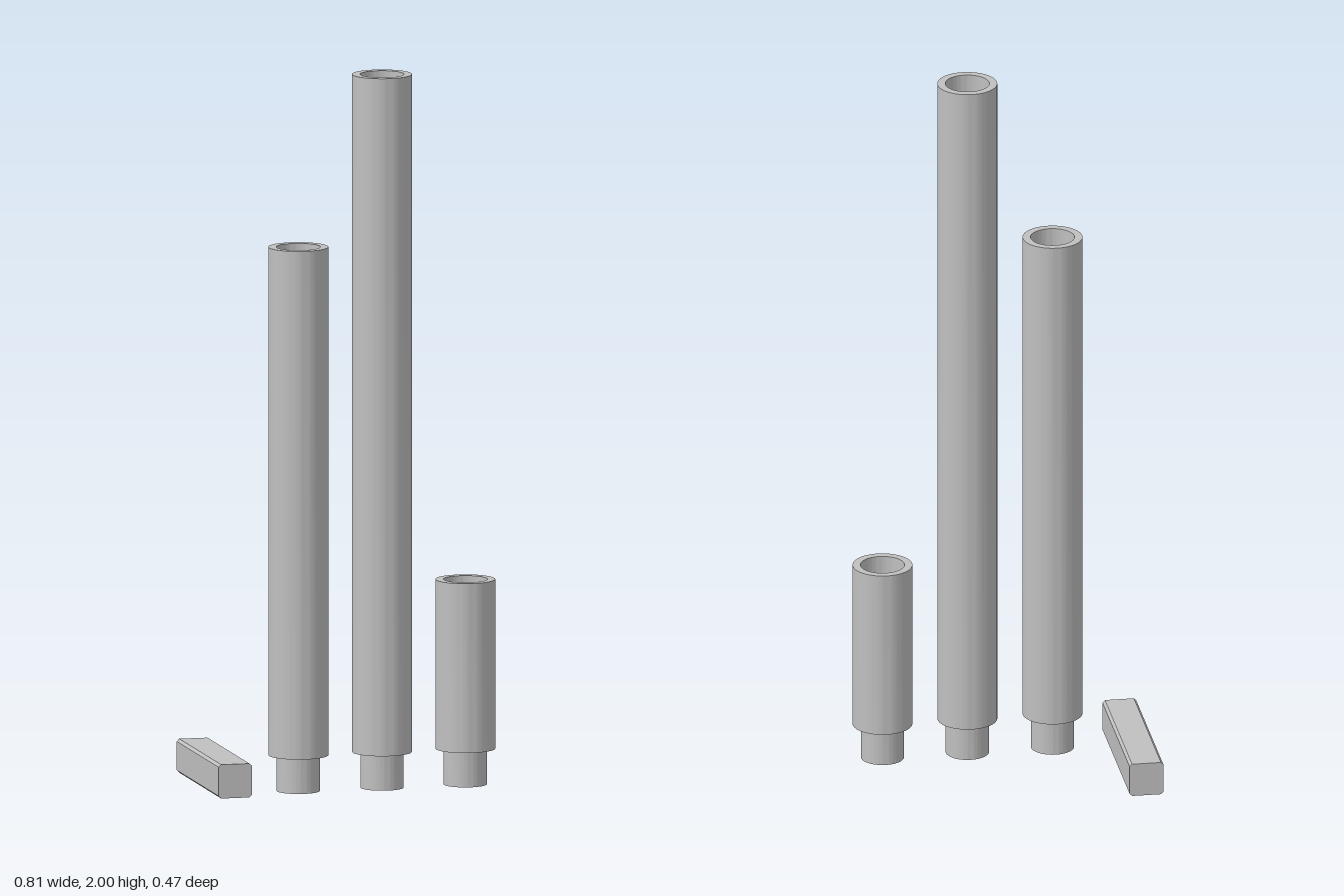
import * as THREE from 'three';
import { toCreasedNormals } from 'three/addons/utils/BufferGeometryUtils.js';

const PEG_RADIUS = 0.06, PEG_HEIGHT = 0.1;
const TUBE_RADIUS = 0.083, SOCKET_RADIUS = 0.061, SOCKET_DEPTH = 0.11;

// Round leg: narrow peg below, shoulder, long body and an open socket on top
function legGeometry(height) {
  const profile = [
    [0, 0],
    [PEG_RADIUS, 0],
    [PEG_RADIUS, PEG_HEIGHT],
    [TUBE_RADIUS, PEG_HEIGHT],
    [TUBE_RADIUS, height],
    [SOCKET_RADIUS, height],
    [SOCKET_RADIUS, height - SOCKET_DEPTH],
    [0, height - SOCKET_DEPTH],
  ].map(([r, y]) => new THREE.Vector2(r, y));
  return toCreasedNormals(new THREE.LatheGeometry(profile, 64), Math.PI / 6);
}

// Square bar with slightly chamfered long edges, running along z
function barGeometry(size, length, c) {
  const h = size / 2;
  const shape = new THREE.Shape([
    [-h + c, -h], [h - c, -h], [h, -h + c], [h, h - c],
    [h - c, h], [-h + c, h], [-h, h - c], [-h, -h + c],
  ].map(([x, y]) => new THREE.Vector2(x, y)));
  const geometry = new THREE.ExtrudeGeometry(shape, { depth: length, bevelEnabled: false });
  return geometry.translate(0, h, -length / 2);
}

export function createModel() {
  const model = new THREE.Group();
  model.name = 'extensionLegs';
  const grey = new THREE.MeshStandardMaterial({ color: 0xc0c0c0 });
  grey.name = 'grey';

  // Three legs of different length in a row
  const legs = [
    ['mediumLeg', -0.156, 1.525],
    ['longLeg', 0.083, 2],
    ['shortLeg', 0.321, 0.575],
  ];
  for (const [name, x, height] of legs) {
    const leg = new THREE.Mesh(legGeometry(height), grey);
    leg.name = name;
    leg.position.set(x, 0, 0.154);
    model.add(leg);
  }

  // Loose bar lying beside the legs
  const bar = new THREE.Mesh(barGeometry(0.095, 0.475, 0.007), grey);
  bar.name = 'squareBar';
  bar.position.set(-0.357, 0, 0);
  model.add(bar);

  return model;
}
